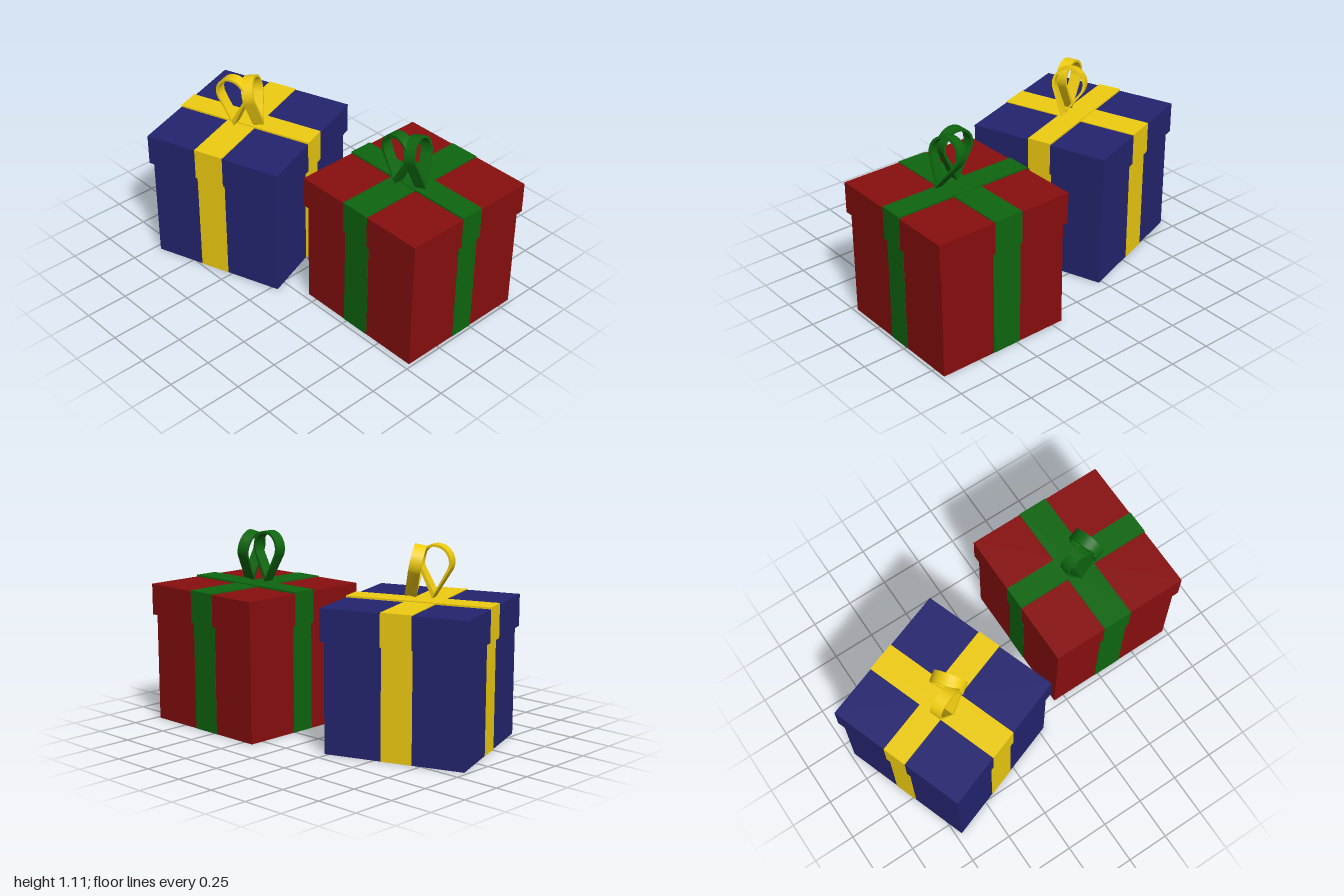
import * as THREE from 'three';
import { toCreasedNormals } from 'three/addons/utils/BufferGeometryUtils.js';

const BODY = 0.796, LID = 0.832, LID_Y = 0.62, TOP = 0.8;
const PROUD = 0.002;                       // how far the ribbon stands off the walls
const STRIP_X = { at: 0.007, w: 0.14 };    // ribbon running front to back
const STRIP_Z = { at: -0.018, w: 0.176 };  // ribbon running side to side

const paint = (color) => new THREE.MeshStandardMaterial({ color });

function box(name, w, h, d, x, y, z, material) {
  const mesh = new THREE.Mesh(new THREE.BoxGeometry(w, h, d), material);
  mesh.name = name;
  mesh.position.set(x, y + h / 2, z);
  return mesh;
}

// Teardrop outline: pointed foot, round top
function teardrop(path, r, footWidth, footY) {
  const a = 0.45;
  path.moveTo(footWidth, footY);
  path.absarc(0, 0.199, r, -a, Math.PI + a, false);
  path.lineTo(-footWidth, footY);
  path.closePath();
  return path;
}

function bowLoopGeometry() {
  const shape = teardrop(new THREE.Shape(), 0.096, 0.012, 0);
  shape.holes.push(teardrop(new THREE.Path(), 0.082, 0.001, 0.03));
  const geo = new THREE.ExtrudeGeometry(shape, { depth: 0.066, bevelEnabled: false, curveSegments: 16 });
  geo.translate(0, 0, -0.033);
  return toCreasedNormals(geo, 0.6);
}

function present(name, wrapColor, ribbonColor) {
  const g = new THREE.Group();
  g.name = name;
  const wrap = paint(wrapColor), ribbon = paint(ribbonColor), card = paint(0xcccccc);

  // Box with a bare underside, and an overhanging lid
  g.add(box('boxBody', BODY, LID_Y, BODY, 0, 0, 0, [wrap, wrap, wrap, card, wrap, wrap]));
  g.add(box('lid', LID, TOP - LID_Y, LID, 0, LID_Y, 0, wrap));

  // Ribbon bands down all four walls, on the box and on the lid
  for (const [part, size, y, h] of [['body', BODY, 0, LID_Y], ['lid', LID, LID_Y, TOP - LID_Y]]) {
    for (const s of [-1, 1]) {
      const off = s * size / 2;
      g.add(box(part + 'RibbonWall', STRIP_X.w, h, PROUD * 2, STRIP_X.at, y, off, ribbon));
      g.add(box(part + 'RibbonSide', PROUD * 2, h, STRIP_Z.w, off, y, STRIP_Z.at, ribbon));
    }
  }

  // Crossing ribbons on top, one lying over the other
  const span = LID + PROUD * 2;
  g.add(box('topRibbonUnder', span, 0.005, STRIP_Z.w, 0, TOP, STRIP_Z.at, ribbon));
  g.add(box('topRibbonOver', STRIP_X.w, 0.01, span, STRIP_X.at, TOP, 0, ribbon));

  // Bow: one upright loop and one leaning loop
  const geo = bowLoopGeometry();
  const back = new THREE.Mesh(geo, ribbon);
  back.name = 'bowLoopBack';
  back.position.set(-0.071, 0.81, -0.053);
  back.rotation.y = Math.PI / 2;
  const front = new THREE.Mesh(geo, ribbon);
  front.name = 'bowLoopFront';
  front.position.set(-0.025, 0.813, 0.08);
  front.rotation.set(-0.2, 0.27, -0.1, 'YXZ');
  g.add(back, front);
  return g;
}

export function createModel() {
  const model = new THREE.Group();
  model.name = 'presents';

  const red = present('redPresent', 0x880e0e, 0x0e660f);
  red.position.set(0.183, 0, 0.583);

  const blue = present('bluePresent', 0x242470, 0xefcc10);
  blue.position.set(-0.075, 0, -0.472);
  blue.rotation.y = 0.337;

  model.add(red, blue);
  return model;
}
